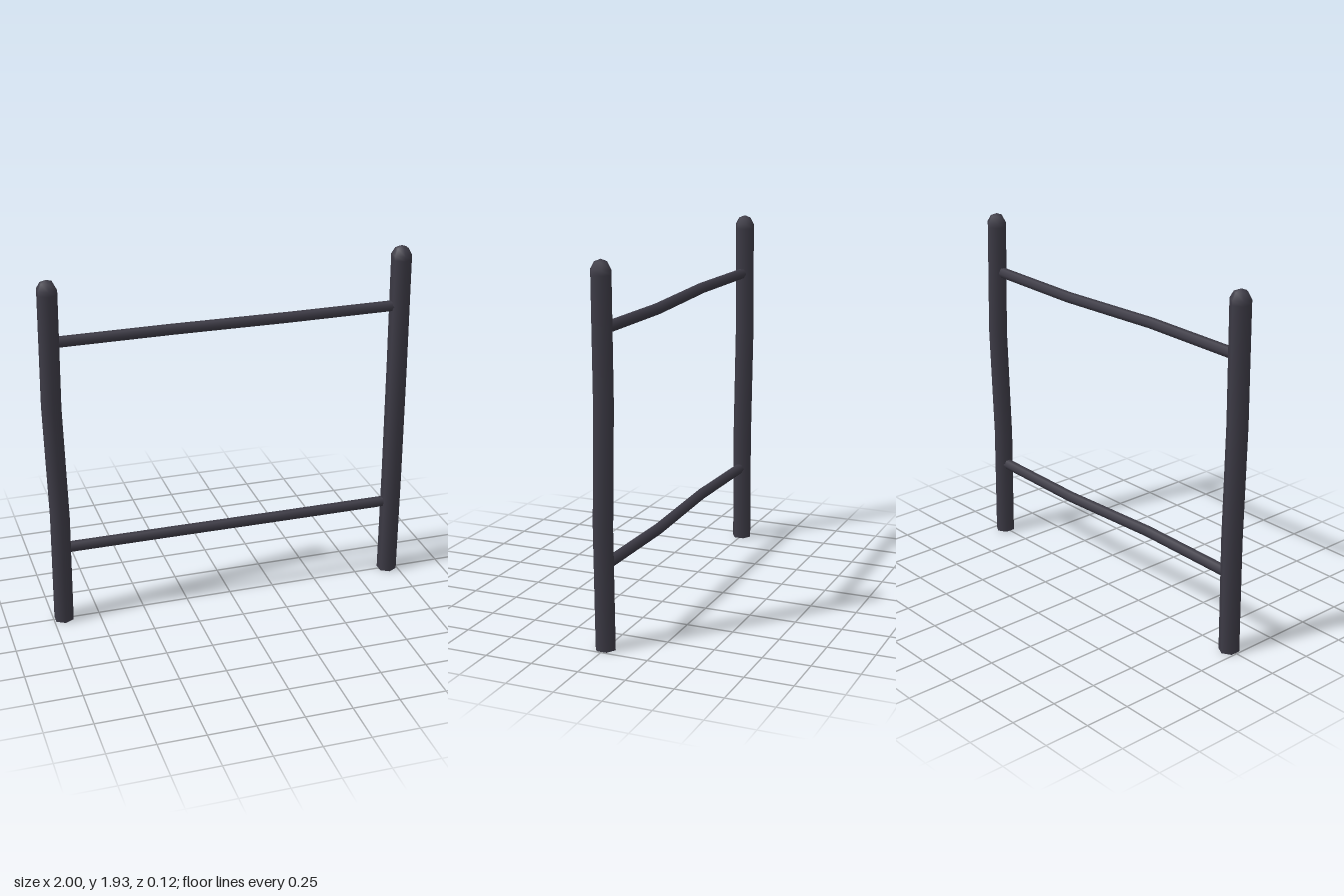
import * as THREE from 'three';

const dark = new THREE.MeshStandardMaterial({ color: 0x3d3b46 });
dark.name = 'dark iron';

function addMesh(parent, name, geometry) {
  const mesh = new THREE.Mesh(geometry, dark);
  mesh.name = name;
  parent.add(mesh);
  return mesh;
}

// Six-sided post with a domed top; each ring is [y, radius, x shift, z shift]
function makePost(name, x, rings) {
  const post = new THREE.Group();
  post.name = name;
  const profile = rings.map(([y, r]) => new THREE.Vector2(r, y));
  const geometry = new THREE.LatheGeometry(profile, 6);
  const pos = geometry.attributes.position;
  for (let i = 0; i < pos.count; i++) {
    const [, , dx, dz] = rings[i % rings.length];
    pos.setXYZ(i, pos.getX(i) + dx, pos.getY(i), pos.getZ(i) + dz);
  }
  addMesh(post, name + 'Shaft', geometry);
  // Flat underside, with corners matching the shaft
  const base = new THREE.CircleGeometry(rings[0][1], 6, Math.PI / 2).rotateX(Math.PI / 2);
  addMesh(post, name + 'Base', base);
  post.position.x = x;
  return post;
}

// Slightly bent six-sided rung running between the post centres
function makeRung(name, y) {
  const geometry = new THREE.CylinderGeometry(0.029, 0.029, 1.89, 6, 3).rotateZ(-Math.PI / 2);
  const pos = geometry.attributes.position;
  for (let i = 0; i < pos.count; i++) {
    const x = pos.getX(i);
    if (Math.abs(x) > 0.5) continue;
    const side = Math.sign(x);
    pos.setY(i, pos.getY(i) - side * 0.005);
    pos.setZ(i, pos.getZ(i) - side * 0.008);
  }
  const mesh = new THREE.Mesh(geometry, dark);
  mesh.name = name;
  mesh.position.y = y;
  return mesh;
}

export function createModel() {
  const model = new THREE.Group();
  model.name = 'postFrame';

  const dome = [[1.885, 0.055, 0, 0], [1.92, 0.035, 0, 0], [1.934, 0, 0, 0]];
  model.add(makePost('rightPost', -0.944, [
    [0, 0.055, 0, 0], [0.62, 0.055, 0.006, 0.001], [1.25, 0.055, -0.008, -0.002],
    [1.86, 0.055, 0, 0], ...dome,
  ]));
  model.add(makePost('leftPost', 0.944, [
    [0, 0.055, 0, 0], [0.62, 0.055, 0.001, 0.006], [1.25, 0.055, 0.007, -0.008],
    [1.86, 0.055, 0, 0], ...dome,
  ]));

  model.add(makeRung('lowerRung', 0.434));
  model.add(makeRung('upperRung', 1.602));
  return model;
}
